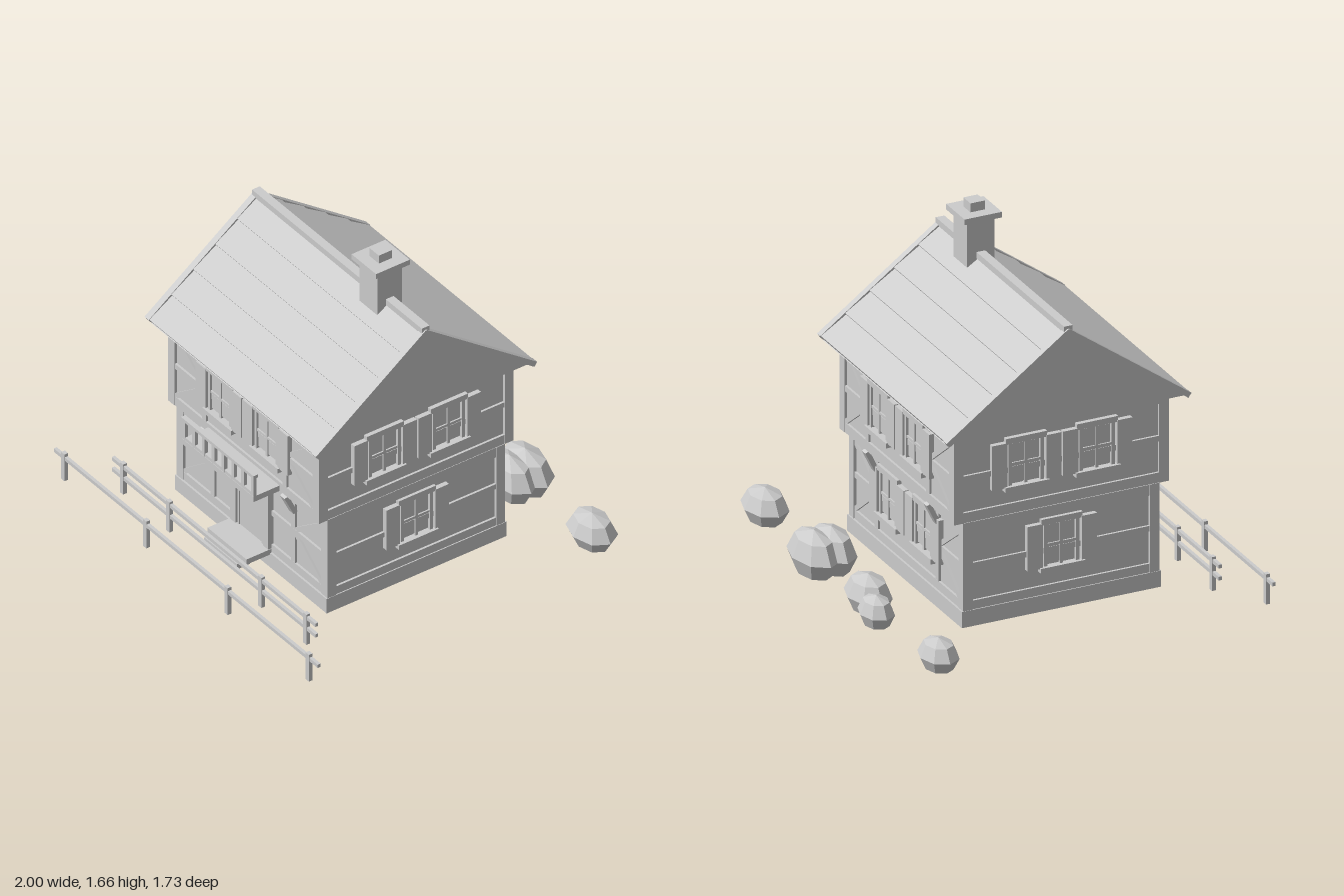
import * as THREE from 'three';

const plaster = new THREE.MeshStandardMaterial({ color: 0xcccccc });
plaster.name = 'light grey';
const foliage = plaster; // everything shares one grey

function mesh(parent, name, geometry, material = plaster) {
  const m = new THREE.Mesh(geometry, material);
  m.name = name;
  parent.add(m);
  return m;
}
// Box given by its minimum and maximum on each axis
function box(parent, name, x0, x1, y0, y1, z0, z1) {
  const m = mesh(parent, name, new THREE.BoxGeometry(x1 - x0, y1 - y0, z1 - z0));
  m.position.set((x0 + x1) / 2, (y0 + y1) / 2, (z0 + z1) / 2);
  return m;
}
// Bar between two points in the wall plane
function brace(parent, name, xa, ya, xb, yb, width, z0, z1) {
  const len = Math.hypot(xb - xa, yb - ya);
  const m = mesh(parent, name, new THREE.BoxGeometry(len, width, z1 - z0));
  m.position.set((xa + xb) / 2, (ya + yb) / 2, (z0 + z1) / 2);
  m.rotation.z = Math.atan2(yb - ya, xb - xa);
  return m;
}
function group(parent, name, x = 0, y = 0, z = 0, ry = 0) {
  const g = new THREE.Group();
  g.name = name;
  g.position.set(x, y, z);
  g.rotation.y = ry;
  parent.add(g);
  return g;
}

const DEEP = -0.014; // plaster lies this far behind the timber faces

// Four-pane window with header, sill and two shutters; y is its lower edge
function windowUnit(wall, x, y) {
  const g = group(wall, 'window', x, y, 0);
  const w = 0.085, h = 0.205;
  for (const s of [-1, 1]) {
    box(g, 'windowJamb', s * 0.078 - 0.008, s * 0.078 + 0.008, 0, h, DEEP, 0.004);
    const sx = s * 0.132;
    box(g, 'shutter', sx - 0.037, sx + 0.037, -0.005, h + 0.005, DEEP, 0.01);
    for (const row of [0, 1])
      box(g, 'windowPane', s * 0.037 - 0.03, s * 0.037 + 0.03,
        0.01 + row * 0.097, 0.098 + row * 0.097, DEEP, -0.005);
  }
  box(g, 'windowMullion', -0.007, 0.007, 0, h, DEEP, 0.002);
  box(g, 'windowTransom', -w, w, 0.095, 0.107, DEEP, 0.002);
  box(g, 'windowHeader', -0.1, 0.1, h - 0.003, h + 0.025, DEEP, 0.008);
  box(g, 'windowSill', -0.108, 0.108, -0.024, 0, DEEP, 0.02);
}

// Timber frame of one storey on one side
function timberFrame(wall, half, y0, y1, rails, braced) {
  const inner = half - 0.045;
  for (const s of [-1, 1])
    box(wall, 'cornerPost', s * (half - 0.024) - 0.0235, s * (half - 0.024) + 0.0235, y0, y1, DEEP - 0.03, 0);
  for (const [a, b] of rails) box(wall, 'rail', -inner, inner, a, b, DEEP, -0.003);
  if (!braced) return;
  const [low, mid, top] = rails;
  const midY = (mid[0] + mid[1]) / 2;
  for (const s of [-1, 1]) {
    brace(wall, 'brace', s * inner, top[0], s * 0.315, midY + 0.01, 0.024, DEEP, -0.004);
    brace(wall, 'brace', s * inner, low[1], s * 0.315, midY - 0.01, 0.024, DEEP, -0.004);
    box(wall, 'stud', s * 0.3 - 0.015, s * 0.3 + 0.015, low[1], top[0], DEEP, -0.0035);
  }
}

function buildWalls(house) {
  const X = 0.5625, ZL = 0.479, ZU = 0.525;
  box(house, 'foundation', -X - 0.002, X + 0.002, 0.05, 0.128, -0.486, 0.486);
  box(house, 'lowerWalls', -X - DEEP, X + DEEP, 0.12, 0.56, -ZL - DEEP, ZL + DEEP);
  box(house, 'upperWalls', -X - DEEP, X + DEEP, 0.552, 0.975, -ZU - DEEP, ZU + DEEP);
  const lowRails = [[0.128, 0.17], [0.325, 0.352], [0.498, 0.55]];
  const upRails = [[0.552, 0.6], [0.75, 0.777], [0.93, 0.972]];

  ['front', 'left', 'back', 'right'].forEach((side, i) => {
    const along = i % 2 === 0; // front and back
    const turn = i * Math.PI / 2;
    const place = (storey, d) =>
      group(house, side + storey, Math.sin(turn) * d, 0, Math.cos(turn) * d, turn);
    const lower = place('LowerWall', along ? ZL : X);
    const upper = place('UpperWall', along ? ZU : X);
    timberFrame(lower, along ? X : ZL, 0.128, 0.552, lowRails, along);
    timberFrame(upper, along ? X : ZU, 0.552, 0.972, upRails, along);
    for (const x of [-0.173, 0.173]) windowUnit(upper, x, 0.69);
    if (side === 'back') for (const x of [-0.173, 0.173]) windowUnit(lower, x, 0.265);
    if (!along) windowUnit(lower, 0, 0.265);
    // Slanted brackets carrying the overhang
    if (along) for (const s of [-1, 1]) {
      const b = mesh(lower, 'overhangBracket', new THREE.BoxGeometry(0.036, 0.115, 0.022));
      b.position.set(s * 0.303, 0.5, 0.022);
      b.rotation.x = 0.45;
    }
    if (side === 'front') buildEntrance(lower);
  });
}

// Door, canopy, steps and balcony, on the lower front wall
function buildEntrance(wall) {
  for (const s of [-1, 1]) box(wall, 'doorJamb', s * 0.122 - 0.02, s * 0.122 + 0.02, 0.128, 0.47, DEEP, 0.016);
  box(wall, 'doorLintel', -0.145, 0.145, 0.455, 0.492, DEEP, 0.018);
  box(wall, 'door', -0.102, 0.102, 0.128, 0.455, DEEP, 0.004);
  for (const s of [-1, 1]) box(wall, 'doorTrim', s * 0.09 - 0.006, s * 0.09 + 0.006, 0.14, 0.445, 0, 0.01);
  box(wall, 'doorTrim', -0.085, 0.085, 0.433, 0.445, 0, 0.01);
  const canopy = mesh(wall, 'doorCanopy', new THREE.BoxGeometry(0.35, 0.02, 0.115));
  canopy.position.set(0, 0.517, 0.054);
  canopy.rotation.x = -0.26;
  box(wall, 'upperStep', -0.145, 0.145, 0.12, 0.148, 0, 0.135);
  box(wall, 'lowerStep', -0.122, 0.122, 0.095, 0.124, 0.1, 0.17);

  const b = group(wall, 'balcony');
  box(b, 'balconyFloor', -0.265, 0.265, 0.553, 0.582, 0, 0.185);
  box(b, 'balconyHandrail', -0.27, 0.27, 0.682, 0.698, 0.164, 0.188);
  box(b, 'balconyBottomRail', -0.265, 0.265, 0.582, 0.598, 0.167, 0.183);
  for (let i = 0; i < 8; i++) {
    const x = -0.255 + i * 0.51 / 7;
    box(b, 'baluster', x - 0.01, x + 0.01, 0.582, 0.684, 0.167, 0.184);
  }
}

function buildRoof(house) {
  const roof = group(house, 'roof');
  // Solid gable prism
  const gable = new THREE.Shape([[-0.583, 0.97], [0.583, 0.97], [0, 1.393]].map(p => new THREE.Vector2(...p)));
  const core = mesh(roof, 'gables',
    new THREE.ExtrudeGeometry(gable, { depth: 1.21, bevelEnabled: false }));
  core.rotation.y = Math.PI / 2;
  core.position.x = -0.605;

  const angle = 0.627, length = 0.732, rows = 5, step = length / rows;
  for (const turn of [0, Math.PI]) {
    const side = group(roof, 'roofSide', 0, 1.42, 0, turn);
    const slope = group(side, 'roofSlope');
    slope.rotation.x = angle;
    box(slope, 'roofDeck', -0.61, 0.61, -0.022, -0.01, 0, length);
    for (const s of [-1, 1])
      box(slope, 'bargeBoard', s * 0.622 - 0.016, s * 0.622 + 0.016, -0.022, 0.004, 0, length + 0.003);
    // Overlapping boards, each lifted at its lower edge
    for (let i = 0; i < rows; i++) {
      const board = box(slope, 'roofBoard', -0.607, 0.607, -0.014, -0.002, i * step, (i + 1) * step);
      board.rotation.x = -0.06;
    }
  }
  box(roof, 'ridgeCap', -0.632, 0.632, 1.405, 1.436, -0.021, 0.021);

  const c = group(roof, 'chimney', 0.297, 0, 0);
  box(c, 'chimneyStack', -0.067, 0.067, 1.33, 1.6, -0.067, 0.067);
  box(c, 'chimneyCap', -0.091, 0.091, 1.59, 1.617, -0.091, 0.091);
  box(c, 'chimneyPot', -0.035, 0.035, 1.61, 1.66, -0.035, 0.035);
}

function buildFence(parent, z, x0, x1, top, posts, rails) {
  const f = group(parent, 'fence', 0, 0, z);
  for (const x of posts) box(f, 'fencePost', x - 0.012, x + 0.012, 0.045, top, -0.01, 0.01);
  for (const y of rails) box(f, 'fenceRail', x0, x1, y - 0.009, y + 0.009, -0.008, 0.008);
}

export function createModel() {
  const model = new THREE.Group();
  model.name = 'timberHouse';
  const house = group(model, 'house', 0.0125, 0, 0.021);
  buildWalls(house);
  buildRoof(house);

  buildFence(model, 0.85, -0.97, 0.995, 0.19, [-0.9, -0.29, 0.315, 0.92], [0.165]);
  buildFence(model, 0.7, -0.745, 0.77, 0.208, [-0.67, -0.325, 0.36, 0.695], [0.188, 0.13]);

  // Faceted bushes behind the house: x, y, z, radii
  const bushGeometry = new THREE.SphereGeometry(1, 8, 4).toNonIndexed();
  bushGeometry.computeVertexNormals();
  for (const [x, y, z, rx, ry, rz] of [
    [-0.883, 0.12, -0.743, 0.117, 0.082, 0.088],
    [-0.365, 0.12, -0.79, 0.105, 0.08, 0.078],
    [-0.185, 0.122, -0.74, 0.14, 0.096, 0.1],
    [0.3, 0.117, -0.765, 0.17, 0.115, 0.105],
    [0.3, 0.117, -0.68, 0.165, 0.115, 0.1],
    [0.832, 0.12, -0.74, 0.14, 0.09, 0.1],
  ]) {
    const bush = mesh(model, 'bush', bushGeometry, foliage);
    bush.position.set(x, y, z);
    bush.scale.set(rx, ry, rz);
  }
  return model;
}
